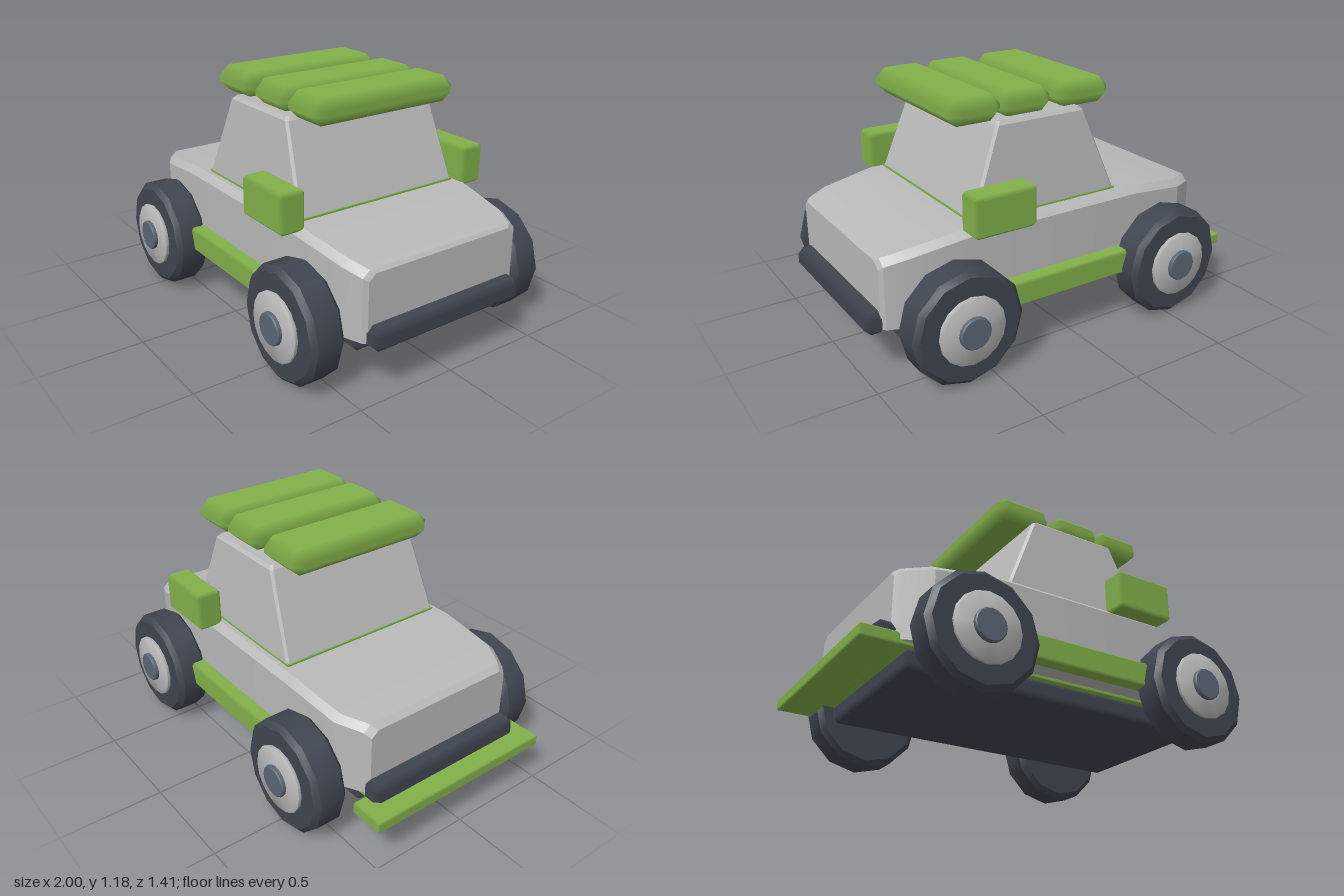
import * as THREE from 'three';
import { ConvexGeometry } from 'three/addons/geometries/ConvexGeometry.js';
import { toCreasedNormals } from 'three/addons/utils/BufferGeometryUtils.js';

const mat = (name, color) => new THREE.MeshStandardMaterial({ name, color });

// Box given by its min/max corners, with chamfered edges that shade softly
function chamferBox([x0, y0, z0], [x1, y1, z1], c) {
  const half = [(x1 - x0) / 2, (y1 - y0) / 2, (z1 - z0) / 2];
  const points = [];
  for (const sx of [-1, 1]) for (const sy of [-1, 1]) for (const sz of [-1, 1]) {
    for (let axis = 0; axis < 3; axis++) {
      const p = [sx, sy, sz].map((s, i) => s * (half[i] - (i === axis ? 0 : c)));
      points.push(new THREE.Vector3(...p));
    }
  }
  const geo = new ConvexGeometry(points);
  const pos = geo.attributes.position, normal = geo.attributes.normal;
  // each corner takes the normal of the main face it lies on
  for (let i = 0; i < pos.count; i++) {
    const p = [pos.getX(i), pos.getY(i), pos.getZ(i)];
    const n = p.map((v, a) => (Math.abs(Math.abs(v) - half[a]) < 1e-4 ? Math.sign(v) : 0));
    normal.setXYZ(i, ...n);
  }
  return geo.translate((x0 + x1) / 2, (y0 + y1) / 2, (z0 + z1) / 2);
}

// Solid of revolution about z, from [radius, z] points
function disc(profile, sides) {
  const geo = new THREE.LatheGeometry(profile.map(([r, z]) => new THREE.Vector2(r, z)), sides);
  geo.rotateX(Math.PI / 2);
  return toCreasedNormals(geo, 0.7);
}

export function createModel() {
  const car = new THREE.Group();
  car.name = 'car';
  const grey = mat('lightGrey', 0xb9b9ba);
  const green = mat('leafGreen', 0x82b04a);
  const dark = mat('darkRubber', 0x3f4550);
  const steel = mat('blueGrey', 0x5b6676);

  const add = (name, geo, material, parent = car) => {
    const mesh = new THREE.Mesh(geo, material);
    mesh.name = name;
    parent.add(mesh);
    return mesh;
  };

  // Body: hull over stations [x, half width, top height]
  const stations = [
    [-0.83, 0.40, 0.575], [-0.80, 0.42, 0.597], [-0.68, 0.485, 0.612], [-0.38, 0.505, 0.645],
    [0.53, 0.505, 0.645], [0.82, 0.47, 0.60], [0.915, 0.435, 0.575], [0.93, 0.415, 0.56],
  ];
  const bodyPoints = [];
  for (const [x, w, top] of stations) {
    for (const s of [-1, 1]) {
      bodyPoints.push(
        new THREE.Vector3(x, 0.25, s * w),
        new THREE.Vector3(x, top - 0.03, s * w),
        new THREE.Vector3(x, top, s * (w - 0.035)),
      );
    }
  }
  add('body', toCreasedNormals(new ConvexGeometry(bodyPoints), 0.3), grey);

  // Cabin: tapered hull with trimmed corners, levels [y, rear x, front x, half width]
  const cabinPoints = [];
  for (const [y, xa, xb, w] of [[0.655, -0.29, 0.49, 0.445], [1.05, -0.13, 0.342, 0.41], [1.065, -0.115, 0.328, 0.395]]) {
    for (const s of [-1, 1]) {
      for (const [x, inward] of [[xa, 0.012], [xb, -0.012]]) {
        cabinPoints.push(
          new THREE.Vector3(x, y, s * (w - 0.012)),
          new THREE.Vector3(x + inward, y, s * w),
        );
      }
    }
  }
  add('cabin', toCreasedNormals(new ConvexGeometry(cabinPoints), 0.3), grey);
  add('cabinTrim', chamferBox([-0.297, 0.64, -0.447], [0.495, 0.655, 0.447], 0.003), green);

  // Padded roof rolls
  for (const [a, b] of [[-0.305, -0.008], [0.02, 0.295], [0.283, 0.553]]) {
    add('roofRoll', chamferBox([a, 1.057, -0.395], [b, 1.18, 0.395], 0.05), green);
  }

  // Undercarriage, base plate, bumpers and tail board
  add('undercarriage', chamferBox([-0.76, 0.147, -0.405], [0.84, 0.24, 0.405], 0.025), dark);
  add('basePlate', chamferBox([-0.82, 0.235, -0.42], [0.9, 0.252, 0.42], 0.004), green);
  add('frontBumper', chamferBox([0.895, 0.222, -0.42], [0.998, 0.33, 0.42], 0.03), dark);
  add('rearBumper', chamferBox([-0.908, 0.225, -0.43], [-0.8, 0.33, 0.43], 0.03), dark);
  add('tailBoard', chamferBox([-1, 0.195, -0.495], [-0.825, 0.25, 0.495], 0.008), green);

  // Wheel parts, outer face toward +z
  const tyreGeo = disc([[0, -0.083], [0.245, -0.083], [0.27, -0.06], [0.27, 0.06], [0.245, 0.083], [0, 0.083]], 12);
  const rimGeo = disc([[0.155, 0.08], [0.16, 0.09], [0.16, 0.1], [0.15, 0.107], [0, 0.107]], 16);
  const capGeo = disc([[0.075, 0.1], [0.075, 0.122], [0.07, 0.127], [0, 0.127]], 16);

  for (const s of [-1, 1]) {
    // Side sills and side boxes
    const sideBox = (name, x0, x1, y0, y1, z0, z1, c) =>
      add(name, chamferBox([x0, y0, Math.min(s * z0, s * z1)], [x1, y1, Math.max(s * z0, s * z1)], c), green);
    sideBox('sideSill', -0.3, 0.4, 0.25, 0.367, 0.42, 0.575, 0.012);
    sideBox('sideBox', 0.242, 0.555, 0.627, 0.817, 0.457, 0.585, 0.016);

    for (const x of [-0.53, 0.63]) {
      const wheel = new THREE.Group();
      wheel.name = x > 0 ? 'frontWheel' : 'rearWheel';
      add('tyre', tyreGeo, dark, wheel);
      add('rim', rimGeo, grey, wheel);
      add('hubCap', capGeo, steel, wheel);
      wheel.position.set(x, 0.272, s * 0.578);
      if (s < 0) wheel.rotation.y = Math.PI;
      car.add(wheel);
    }
  }
  return car;
}
